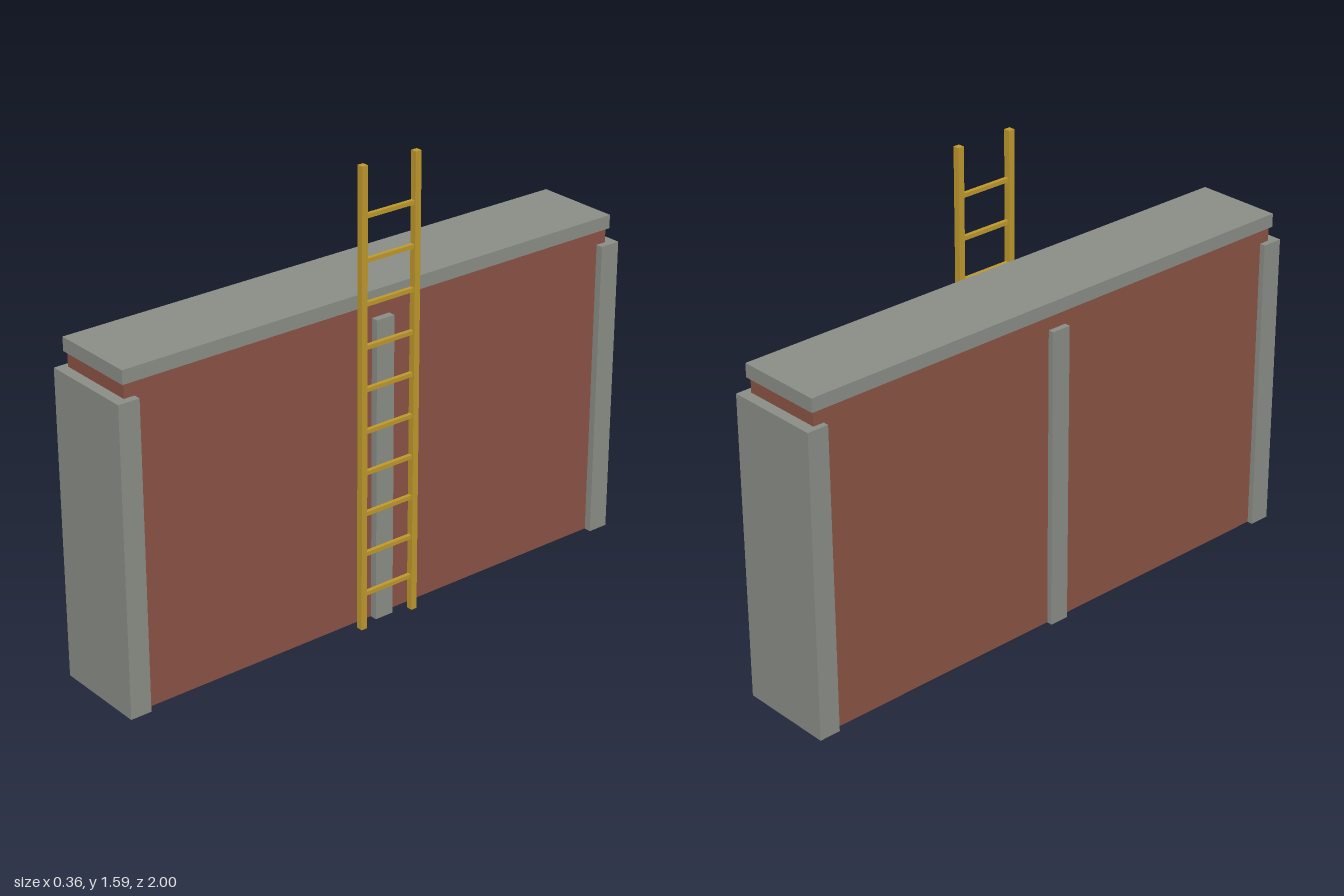
import * as THREE from 'three';

export function createModel() {
  const model = new THREE.Group();
  model.name = 'wallWithLadder';

  const concrete = new THREE.MeshStandardMaterial({ color: 0x8a8d86 });
  concrete.name = 'concrete';
  const brick = new THREE.MeshStandardMaterial({ color: 0x8a5244 });
  brick.name = 'brick';
  const yellow = new THREE.MeshStandardMaterial({ color: 0xbe982c });
  yellow.name = 'yellowPaint';

  // Box given by its lower and upper corners
  function box(parent, name, material, [x0, y0, z0], [x1, y1, z1]) {
    const mesh = new THREE.Mesh(new THREE.BoxGeometry(x1 - x0, y1 - y0, z1 - z0), material);
    mesh.position.set((x0 + x1) / 2, (y0 + y1) / 2, (z0 + z1) / 2);
    mesh.name = name;
    parent.add(mesh);
  }

  // Brick wall and its overhanging coping
  box(model, 'wall', brick, [-0.162, 0.001, -0.963], [0.129, 1.11, 0.963]);
  box(model, 'coping', concrete, [-0.17, 1.11, -0.972], [0.138, 1.157, 0.972]);

  // Concrete piers at both ends and in the middle
  const piers = [['backPier', -1, -0.925], ['middlePier', -0.035, 0.035], ['frontPier', 0.925, 1]];
  for (const [name, z0, z1] of piers) {
    box(model, name, concrete, [-0.182, 0, z0], [0.154, 1.06, z1]);
  }

  // Ladder standing against the left face
  const ladder = new THREE.Group();
  ladder.name = 'ladder';
  model.add(ladder);
  for (const side of [-1, 1]) {
    const z = side * 0.105;
    box(ladder, side > 0 ? 'frontRail' : 'backRail', yellow, [0.157, 0, z - 0.011], [0.18, 1.59, z + 0.011]);
  }
  for (let i = 0; i < 10; i++) {
    const y = 0.124 + i * 0.1445;
    box(ladder, `rung${i + 1}`, yellow, [0.161, y - 0.007, -0.1], [0.175, y + 0.007, 0.1]);
  }

  return model;
}
